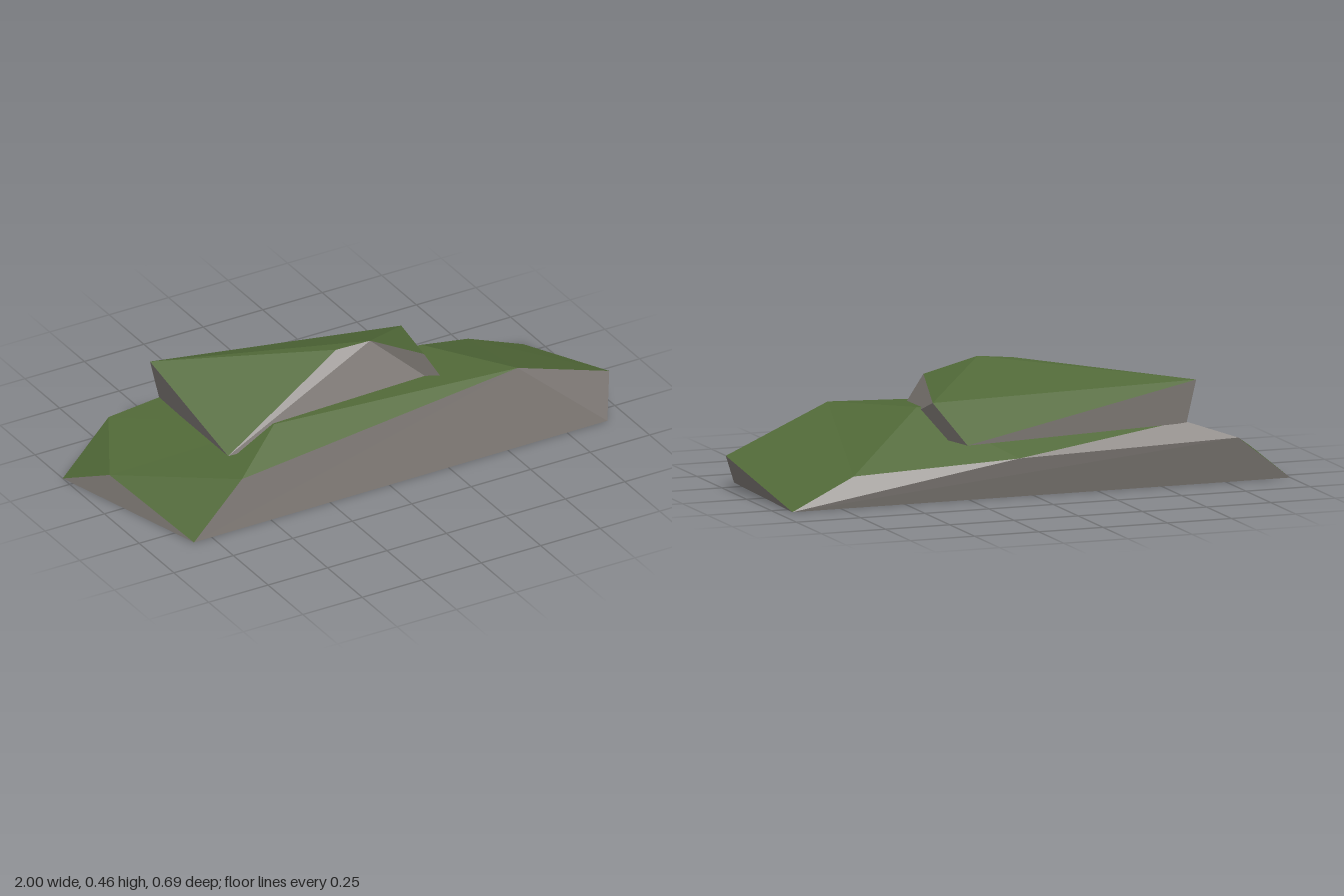
import * as THREE from 'three';

const moss = new THREE.MeshStandardMaterial({ name: 'moss green', color: 0x506837 });
const stone = new THREE.MeshStandardMaterial({ name: 'stone grey', color: 0x7b7672 });

// Faceted surface from lettered corners; each face is a fan turned outward from the core point.
function facets(name, points, faces, core, material) {
  const centre = new THREE.Vector3(...core);
  const out = [];
  for (const face of faces) {
    const v = [...face].map((key) => new THREE.Vector3(...points[key]));
    for (let i = 1; i < v.length - 1; i++) {
      const [a, b, c] = [v[0], v[i], v[i + 1]];
      const normal = b.clone().sub(a).cross(c.clone().sub(a));
      const middle = a.clone().add(b).add(c).divideScalar(3).sub(centre);
      const order = normal.dot(middle) < 0 ? [a, c, b] : [a, b, c];
      order.forEach((p) => out.push(p.x, p.y, p.z));
    }
  }
  const geometry = new THREE.BufferGeometry();
  geometry.setAttribute('position', new THREE.Float32BufferAttribute(out, 3));
  geometry.computeVertexNormals();
  const mesh = new THREE.Mesh(geometry, material);
  mesh.name = name;
  return mesh;
}

function rock(name, points, core, mossFaces, stoneFaces) {
  const group = new THREE.Group();
  group.name = name;
  group.add(facets(name + 'Moss', points, mossFaces, core, moss));
  group.add(facets(name + 'Stone', points, stoneFaces, core, stone));
  return group;
}

export function createModel() {
  const model = new THREE.Group();
  model.name = 'mossyRock';

  // Long lower slab: P F X W are the ground corners
  const slab = {
    P: [-1, 0, -0.3], F: [-0.825, 0, 0.345], X: [0.92, 0, 0.333], W: [0.94, 0, -0.305],
    L: [-0.92, 0.09, -0.1], K: [-0.78, 0.17, -0.347], A: [-0.6, 0.18, 0.305],
    B: [0.58, 0.288, 0.27], V: [1, 0.125, 0.21], S: [0.69, 0.11, -0.275],
    M: [0.07, 0.147, -0.34], C: [-0.38, 0.275, 0.16], D: [0.35, 0.303, -0.03],
    T: [-0.59, 0.234, -0.285],
  };
  model.add(rock('lowerSlab', slab, [0, 0.1, 0],
    ['PLK', 'LFA', 'LAC', 'LCK', 'KCT', 'ABC', 'CBD', 'CDT', 'DMT', 'DSM', 'DBS', 'BVS', 'VWS'],
    ['PFXW', 'PFL', 'FXBA', 'XVB', 'XWV', 'PKW', 'WKM', 'WMS', 'KTM']));

  // Smaller tilted block resting on the slab
  const block = {
    H: [-0.635, 0.385, -0.297], I: [-0.06, 0.445, 0.06], J: [0.07, 0.455, 0.08],
    E: [0.25, 0.387, 0.16], G: [0.33, 0.335, -0.14], R: [0.27, 0.207, -0.336],
    F: [-0.585, 0.21, 0.18], N: [-0.6, 0.226, -0.29], Q: [0.36, 0.2, 0.19],
  };
  model.add(rock('upperBlock', block, [-0.1, 0.29, -0.08],
    ['HIF', 'HJI', 'JEG', 'HGJ', 'HRG'],
    ['FJI', 'FQJ', 'QEJ', 'QGE', 'QRG', 'HFN', 'HNR', 'NFQR']));

  return model;
}
